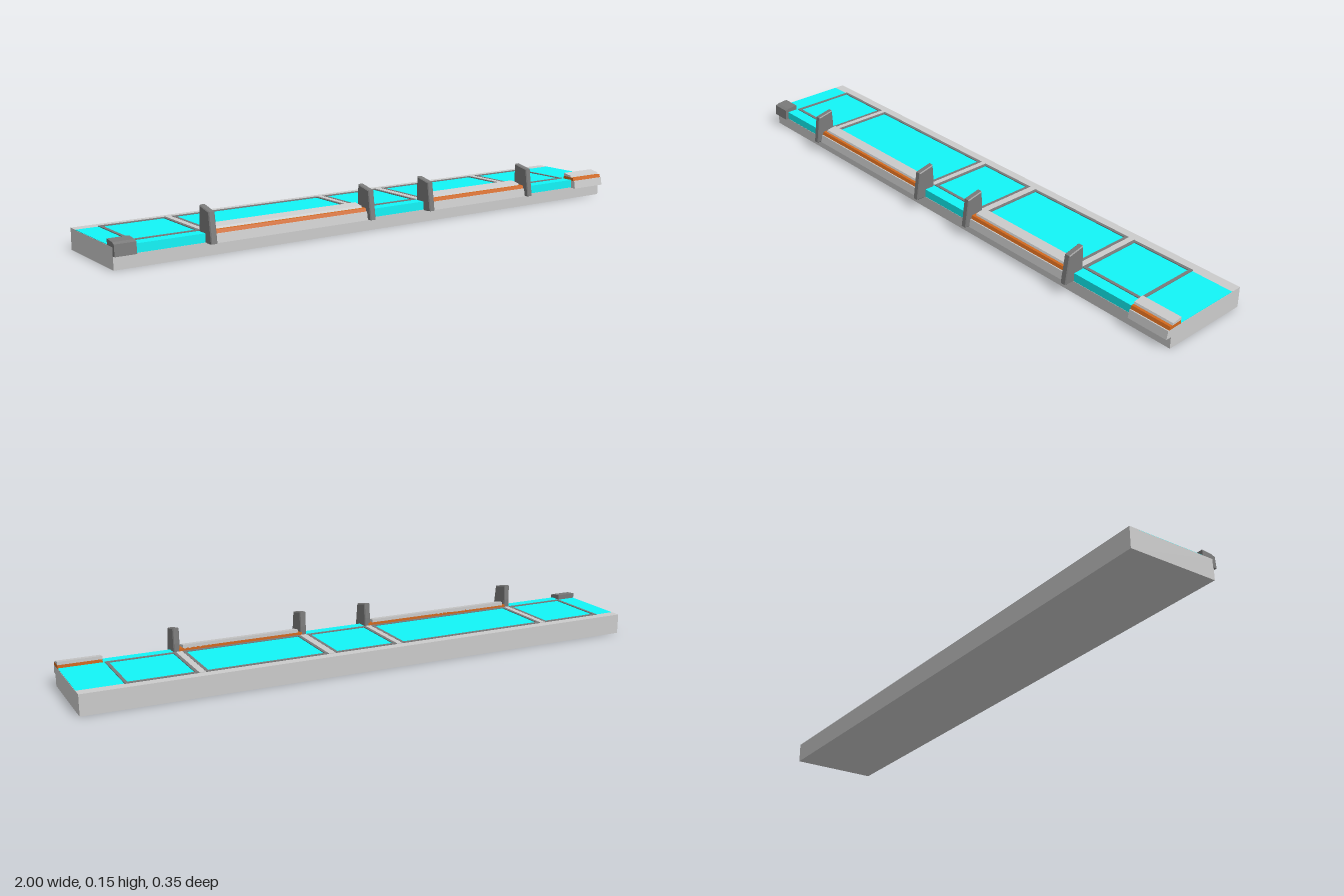
import * as THREE from 'three';

const grey = new THREE.MeshStandardMaterial({ color: 0xcccccc, flatShading: true });
const dark = new THREE.MeshStandardMaterial({ color: 0x7a7a7a, flatShading: true });
const cyan = new THREE.MeshStandardMaterial({ color: 0x12f5f8, flatShading: true });
const orange = new THREE.MeshStandardMaterial({ color: 0xd2691e, flatShading: true });

export function createModel() {
  const model = new THREE.Group();

  // Box given by its minimum and maximum on each axis
  function box(name, mat, x0, x1, y0, y1, z0, z1, parent = model) {
    const mesh = new THREE.Mesh(new THREE.BoxGeometry(x1 - x0, y1 - y0, z1 - z0), mat);
    mesh.position.set((x0 + x1) / 2, (y0 + y1) / 2, (z0 + z1) / 2);
    mesh.name = name;
    parent.add(mesh);
  }

  // Side profile of [z, y] points, extruded along x
  function profile(name, mat, points, x0, x1, bevel = 0, parent = model) {
    const shape = new THREE.Shape(points.map(([z, y]) => new THREE.Vector2(-z, y)));
    const geometry = new THREE.ExtrudeGeometry(shape, {
      depth: x1 - x0 - 2 * bevel, bevelEnabled: bevel > 0,
      bevelSize: bevel, bevelThickness: bevel, bevelOffset: -bevel, bevelSegments: 1,
    });
    geometry.rotateY(Math.PI / 2).translate(x0 + bevel, 0, 0);
    const mesh = new THREE.Mesh(geometry, mat);
    mesh.name = name;
    parent.add(mesh);
  }

  // Slab with a coloured skin on the top and the upper front
  box('base', grey, -1, 1, 0, 0.069, -0.175, 0.138);
  box('frontLedge', grey, -1, 1, 0, 0.042, 0.13, 0.14);
  box('deckTop', cyan, -0.999, 0.999, 0.06, 0.0705, -0.138, 0.139);
  box('deckFront', cyan, -0.999, 0.999, 0.042, 0.0705, 0.13, 0.139);
  box('backStrip', grey, -1, 1, 0.06, 0.0705, -0.175, -0.138);

  // Framed panels
  const panels = [[-0.925, -0.695], [-0.675, -0.11], [-0.09, 0.14], [0.165, 0.59], [0.612, 0.85]];
  const zBack = -0.142, zFront = 0.097, w = 0.011, top = 0.073;
  for (const [x0, x1] of panels) {
    const frame = new THREE.Group();
    frame.name = 'panelFrame';
    box('frameBack', dark, x0, x1, 0.06, top, zBack, zBack + w, frame);
    box('frameFront', dark, x0, x1, 0.06, top, zFront - w, zFront, frame);
    box('frameLeft', dark, x1 - w, x1, 0.06, top, zBack + w, zFront - w, frame);
    box('frameRight', dark, x0, x0 + w, 0.06, top, zBack + w, zFront - w, frame);
    model.add(frame);
  }

  // Grey joints between neighbouring panels
  for (let i = 0; i < panels.length - 1; i++) {
    box('panelJoint', grey, panels[i][1], panels[i + 1][0], 0.06, 0.0725, zBack, zFront);
  }

  // Stepped parapets with a coloured band
  function parapet(x0, x1, inset) {
    const group = new THREE.Group();
    group.name = 'parapet';
    profile('parapetBase', grey,
      [[0.1, 0.04], [0.16, 0.04], [0.155, 0.068], [0.1, 0.068]], x0, x1, 0, group);
    profile('parapetBand', orange,
      [[0.1, 0.068], [0.151, 0.068], [0.147, 0.079], [0.1, 0.081]], x0, x1, 0, group);
    profile('parapetCap', grey,
      [[0.1, 0.079], [0.138, 0.079], [0.135, 0.086], [0.1, 0.092]], x0 + inset, x1 - inset, 0, group);
    model.add(group);
  }
  parapet(-0.685, -0.105, 0.015);
  parapet(0.155, 0.6, 0.015);
  parapet(0.855, 1, 0);

  // Plain dark block at the right end
  profile('endBlock', dark,
    [[0.1, 0.042], [0.152, 0.042], [0.149, 0.079], [0.138, 0.084], [0.1, 0.088]], -1, -0.93);

  // Leaning buttresses beside the parapets
  for (const x of [-0.69, -0.1, 0.15, 0.607]) {
    profile('buttress', dark,
      [[0.1, 0.04], [0.16, 0.04], [0.176, 0.042], [0.162, 0.14], [0.103, 0.153], [0.1, 0.1]],
      x - 0.011, x + 0.011, 0.003);
  }
  return model;
}
